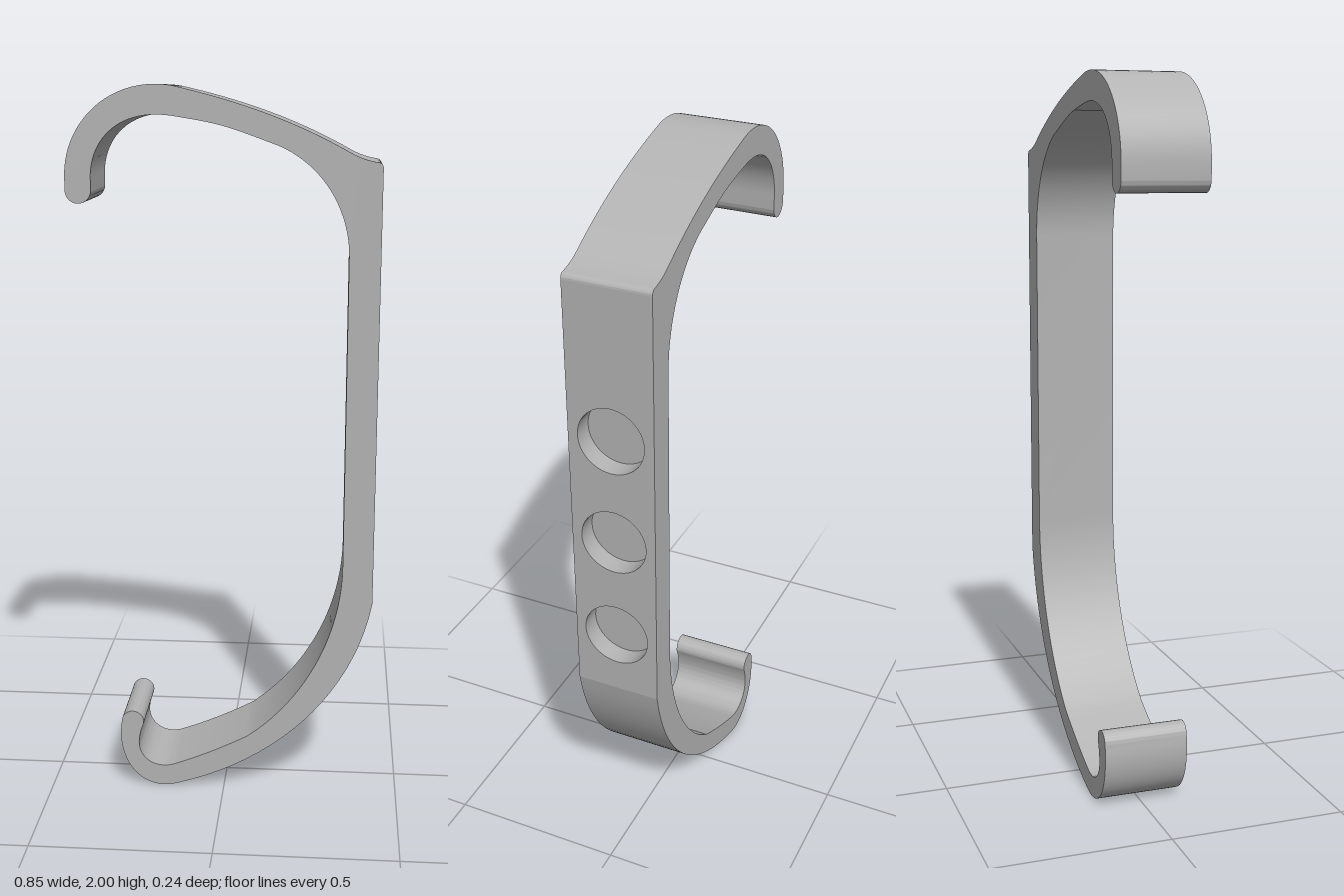
import * as THREE from 'three';
import { toCreasedNormals } from 'three/addons/utils/BufferGeometryUtils.js';

const WIDTH = 0.24, FACE_X = 0.42, FACE_BOTTOM = 0.58, FACE_TOP = 1.785;
const HOLE_R = 0.093, HOLE_DEPTH = 0.058, HOLE_Y = [0.765, 1.067, 1.37];

const pts = (list) => list.map(([x, y]) => new THREE.Vector2(x, y));

// Side outline of the hook, counter-clockwise from the foot of the flat face
function hookOutline() {
  const s = new THREE.Shape();
  s.moveTo(FACE_X, FACE_BOTTOM);
  s.lineTo(FACE_X, FACE_TOP);
  // Small rounded corner and outer upper arm
  s.quadraticCurveTo(FACE_X, 1.798, 0.408, 1.801);
  s.quadraticCurveTo(0.37, 1.806, 0.335, 1.825);
  s.bezierCurveTo(0.2, 1.9, 0.05, 1.955, -0.13, 1.995);
  s.quadraticCurveTo(-0.155, 2, -0.18, 2);
  s.bezierCurveTo(-0.32, 2, -0.425, 1.89, -0.425, 1.76);
  // Upper tip
  s.absarc(-0.39, 1.725, 0.035, Math.PI, Math.PI * 2, false);
  // Inner upper arm
  s.lineTo(-0.355, 1.765);
  s.bezierCurveTo(-0.35, 1.86, -0.28, 1.922, -0.18, 1.922);
  s.splineThru(pts([[-0.13, 1.918], [0, 1.893], [0.145, 1.843]]));
  s.bezierCurveTo(0.27, 1.79, 0.335, 1.67, 0.335, 1.55);
  // Inner straight and lower arm
  s.lineTo(0.335, 0.69);
  s.bezierCurveTo(0.335, 0.48, 0.23, 0.28, 0.07, 0.165);
  s.quadraticCurveTo(-0.04, 0.105, -0.15, 0.066);
  s.bezierCurveTo(-0.21, 0.05, -0.25, 0.09, -0.248, 0.135);
  s.quadraticCurveTo(-0.246, 0.165, -0.235, 0.19);
  // Lower tip
  s.absarc(-0.266, 0.198, 0.032, -0.1, Math.PI, false);
  // Outer lower hook and long curve back to the flat face
  s.bezierCurveTo(-0.315, 0.09, -0.26, -0.005, -0.165, 0.001);
  s.lineTo(-0.14, 0.006);
  s.bezierCurveTo(0.15, 0.085, 0.37, 0.3, FACE_X, FACE_BOTTOM);
  return s;
}

// Extruded strip with the flat face left open for the drilled plate
function stripGeometry() {
  const solid = new THREE.ExtrudeGeometry(hookOutline(), {
    depth: WIDTH, bevelEnabled: false, curveSegments: 20,
  }).translate(0, 0, -WIDTH / 2).toNonIndexed();
  const p = solid.attributes.position;
  const kept = [];
  for (let i = 0; i < p.count; i += 3) {
    const onFace = [0, 1, 2].every((k) => p.getX(i + k) > FACE_X - 1e-5);
    if (onFace) continue;
    for (let k = 0; k < 3; k++) kept.push(p.getX(i + k), p.getY(i + k), p.getZ(i + k));
  }
  const g = new THREE.BufferGeometry();
  g.setAttribute('position', new THREE.Float32BufferAttribute(kept, 3));
  return toCreasedNormals(g, 0.4);
}

// Flat outer face with three round openings
function faceGeometry() {
  const h = WIDTH / 2;
  const s = new THREE.Shape(pts([[-h, FACE_BOTTOM], [h, FACE_BOTTOM], [h, FACE_TOP], [-h, FACE_TOP]]));
  for (const y of HOLE_Y) {
    s.holes.push(new THREE.Path().absarc(0, y, HOLE_R, 0, Math.PI * 2, true));
  }
  return new THREE.ShapeGeometry(s, 24).rotateY(Math.PI / 2).translate(FACE_X, 0, 0);
}

// Blind recess: wall and floor
function recessGeometry() {
  const profile = pts([[HOLE_R, HOLE_DEPTH], [HOLE_R, 0], [0, 0]]);
  const cup = new THREE.LatheGeometry(profile, 48).rotateZ(-Math.PI / 2);
  return toCreasedNormals(cup, 0.6);
}

export function createModel() {
  const group = new THREE.Group();
  group.name = 'doubleHook';
  const grey = new THREE.MeshStandardMaterial({ color: 0xb3b3b3, side: THREE.DoubleSide });
  grey.name = 'grey';

  const add = (name, geometry) => {
    const mesh = new THREE.Mesh(geometry, grey);
    mesh.name = name;
    group.add(mesh);
    return mesh;
  };

  add('hookStrip', stripGeometry());
  add('mountingFace', faceGeometry());
  const recess = recessGeometry();
  HOLE_Y.forEach((y, i) => {
    add(`magnetRecess${i + 1}`, recess).position.set(FACE_X - HOLE_DEPTH, y, 0);
  });
  return group;
}
